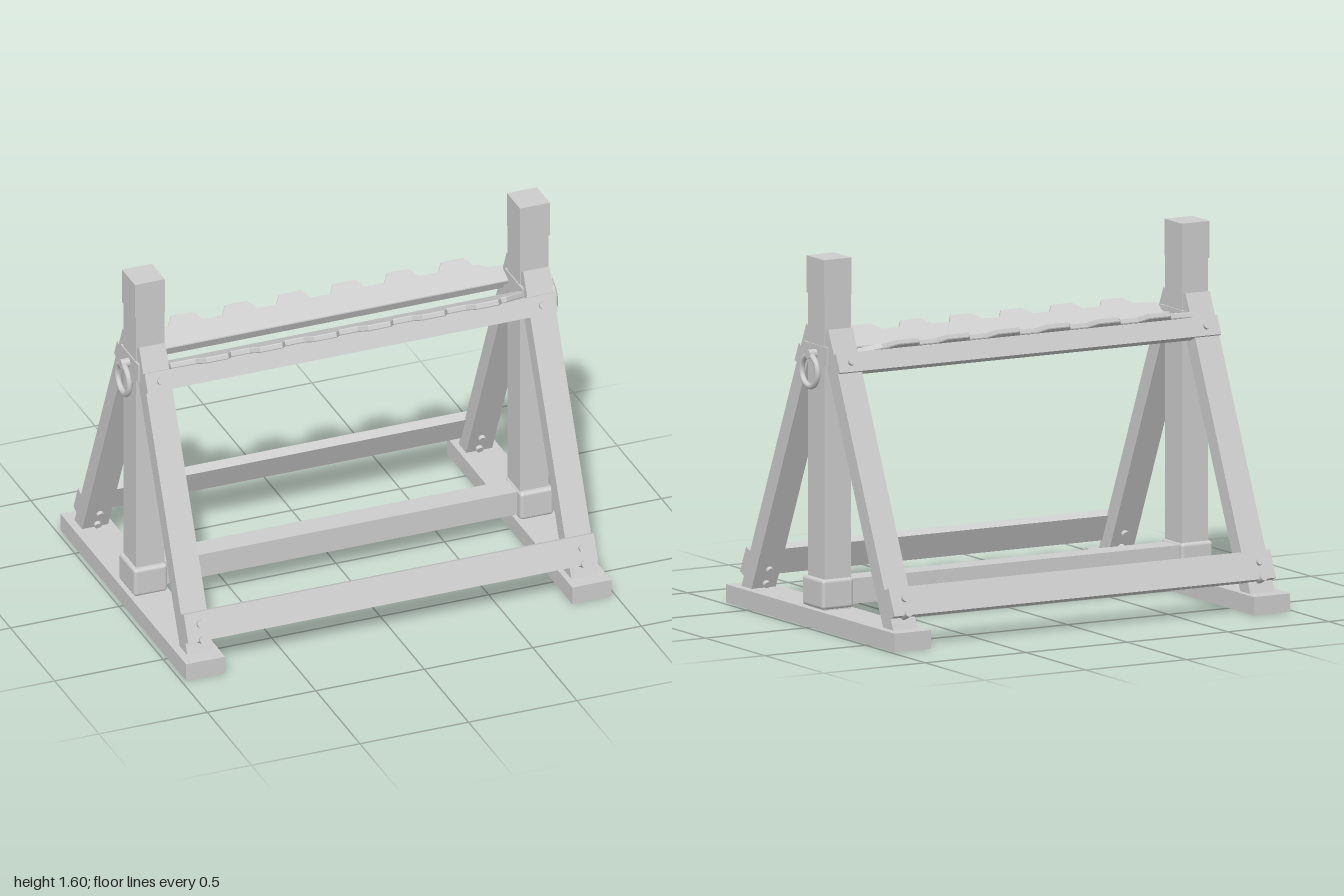
import * as THREE from 'three';
import { RoundedBoxGeometry } from 'three/addons/geometries/RoundedBoxGeometry.js';

const grey = new THREE.MeshStandardMaterial({ color: 0xcccccc });
grey.name = 'plain grey';

function add(parent, name, geometry, x = 0, y = 0, z = 0) {
  const mesh = new THREE.Mesh(geometry, grey);
  mesh.name = name;
  mesh.position.set(x, y, z);
  parent.add(mesh);
  return mesh;
}
const box = (w, h, d) => new THREE.BoxGeometry(w, h, d);

// Bolt running along local z from z0 to z1
function bolt(parent, x, y, z0, z1) {
  const g = new THREE.CylinderGeometry(0.016, 0.016, z1 - z0, 12).rotateX(Math.PI / 2);
  add(parent, 'bolt', g, x, y, (z0 + z1) / 2);
}

// Toothed shelf board; the cut corner is at the +x end (flip = -1 swaps the ends)
function rackBoard(flip) {
  const inner = -0.045, edge = 0.065, tip = 0.113;
  const pts = [[-0.82, inner], [0.82, inner], [0.82, 0.0], [0.72, edge]];
  for (let i = 5; i >= 0; i--) {
    const c = -0.63 + i * 0.249;
    pts.push([c + 0.08, edge], [c + 0.05, tip], [c - 0.05, tip], [c - 0.08, edge]);
  }
  pts.push([-0.82, 0.055]);
  const shape = new THREE.Shape(pts.map(([x, n]) => new THREE.Vector2(x * flip, n)));
  const g = new THREE.ExtrudeGeometry(shape, {
    depth: 0.018, bevelEnabled: true, bevelThickness: 0.004, bevelSize: 0.003, bevelSegments: 1,
  });
  // Shape y becomes local +z, thickness runs along local -y
  return g.rotateX(Math.PI / 2);
}

// Leaning frame: local y runs up the legs, local z points out of the slope
function sideFrame(flip) {
  const frame = new THREE.Group();
  frame.position.set(0, 0.148, 0.565);
  frame.rotation.x = -0.42;
  for (const s of [-1, 1]) {
    add(frame, 'leg', box(0.12, 1.345, 0.078), s * 0.885, 0.5725, 0);
    bolt(frame, s * 0.88, 0.035, -0.055, 0.09);
    bolt(frame, s * 0.88, -0.035, -0.055, 0.09);
    bolt(frame, s * 0.88, 1.09, -0.055, 0.072);
  }
  add(frame, 'lowerRail', box(1.89, 0.126, 0.045), 0, 0.023, 0.0525);
  add(frame, 'upperRail', box(1.89, 0.085, 0.06), 0, 1.09, 0.028);
  add(frame, 'rackBoard', rackBoard(flip), 0, 1.154, 0);
  return frame;
}

export function createModel() {
  const model = new THREE.Group();
  model.name = 'rack';

  // Two mirrored end assemblies
  for (const s of [-1, 1]) {
    const end = new THREE.Group();
    end.name = s > 0 ? 'leftEnd' : 'rightEnd';
    model.add(end);
    add(end, 'foot', box(0.18, 0.08, 1.42), s * 0.89, 0.04, 0);
    add(end, 'post', box(0.13, 1.38, 0.14), s * 0.885, 0.76, 0);
    add(end, 'postTop', box(0.138, 0.16, 0.146), s * 0.887, 1.52, 0);
    add(end, 'postCollar', new RoundedBoxGeometry(0.155, 0.13, 0.18, 3, 0.015), s * 0.89, 0.15, 0.005);
    add(end, 'crossBlock', box(0.14, 0.085, 0.195), s * 0.885, 1.182, 0.005);
    // Hanging ring on its eye
    const eye = new THREE.CylinderGeometry(0.02, 0.02, 0.042, 16).rotateX(Math.PI / 2);
    add(end, 'ringEye', eye.rotateY(Math.PI / 2), s * 0.973, 1.185, 0);
    const ring = new THREE.TorusGeometry(0.067, 0.013, 10, 32).rotateY(Math.PI / 2);
    add(end, 'ring', ring, s * 0.981, 1.112, 0.003);
  }

  add(model, 'middleBeam', box(1.66, 0.11, 0.11), 0, 0.15, -0.003);

  const front = sideFrame(1);
  front.name = 'frontFrame';
  model.add(front);

  const back = new THREE.Group();
  back.name = 'backFrame';
  back.rotation.y = Math.PI;
  back.add(sideFrame(-1));
  model.add(back);

  return model;
}
